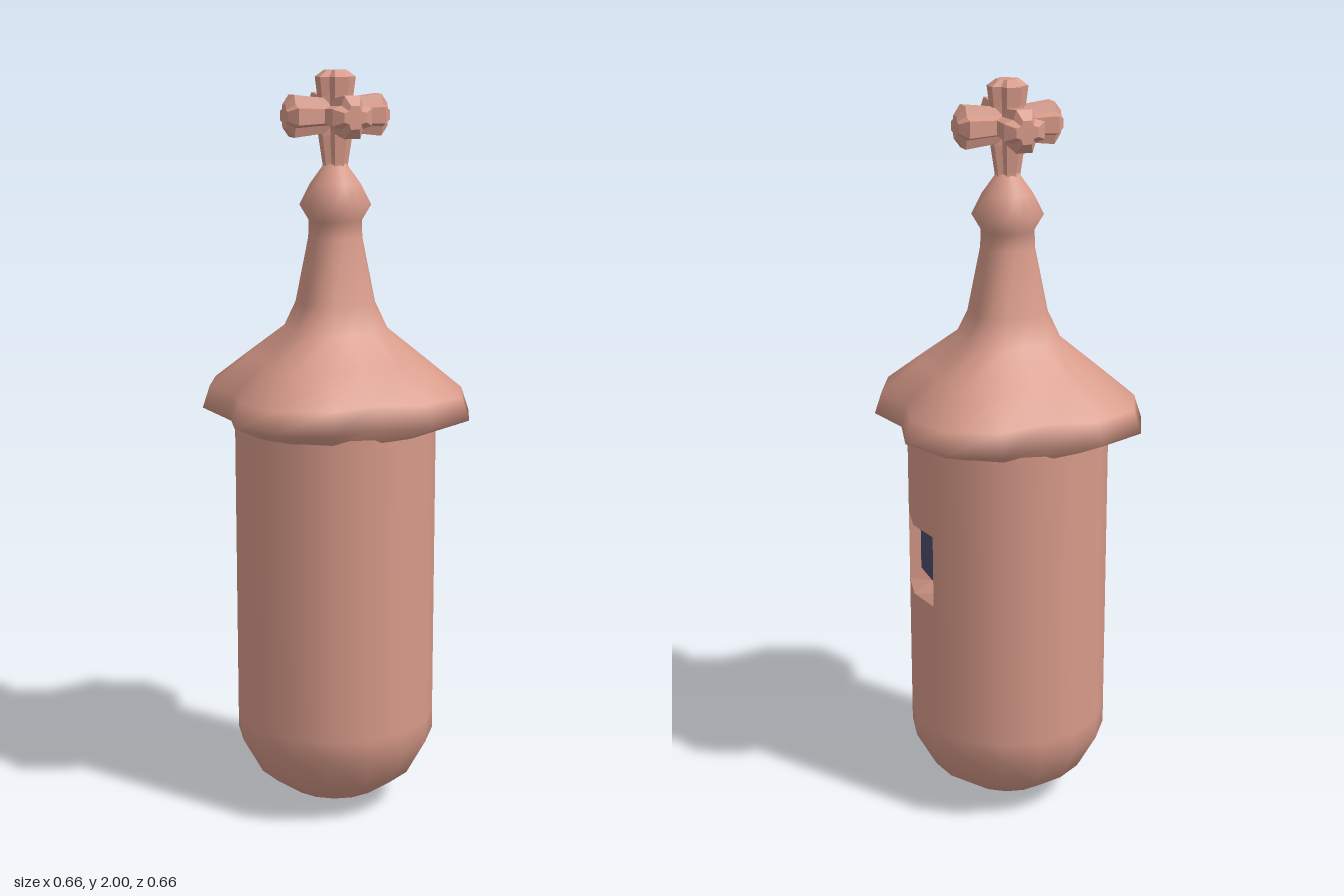
import * as THREE from 'three';

const clay = new THREE.MeshStandardMaterial({ color: 0xd79a89 });
const clayFlat = new THREE.MeshStandardMaterial({ color: 0xd79a89, flatShading: true });
const glass = new THREE.MeshStandardMaterial({ color: 0x4c4c6c });
const red = new THREE.MeshStandardMaterial({ color: 0x9c2438 });

// Skin over a stack of closed rings with equal point counts
function loft(rings) {
  const n = rings[0].length, index = [];
  for (let i = 0; i < rings.length - 1; i++) {
    for (let j = 0; j < n; j++) {
      const a = i * n + j, b = i * n + (j + 1) % n;
      index.push(a, b, b + n, a, b + n, a + n);
    }
  }
  const geometry = new THREE.BufferGeometry();
  geometry.setAttribute('position', new THREE.Float32BufferAttribute(rings.flat(2), 3));
  geometry.setIndex(index);
  geometry.computeVertexNormals();
  return geometry;
}

// Horizontal ring from a list of relative radii at given angles
const ring = (y, r, polar) => polar.map(([angle, k]) => [Math.sin(angle) * r * k, y, Math.cos(angle) * r * k]);

export function createModel() {
  const model = new THREE.Group();
  const add = (name, geometry, material, parent = model) => {
    const mesh = new THREE.Mesh(geometry, material);
    mesh.name = name;
    parent.add(mesh);
    return mesh;
  };

  // Body: rounded base, wall around the window, upper wall
  const R = 0.27, low = 0.63, high = 0.83, step = Math.PI / 8;
  const profile = [[0, 0], [0.03, 0.003], [0.13, 0.04], [0.215, 0.1], [R, 0.2], [R, 0.26], [R, low]];
  add('lowerBody', new THREE.LatheGeometry(profile.map(p => new THREE.Vector2(...p)), 16), clay);
  const wall = (name, y0, y1, start, segments) => add(name,
    new THREE.CylinderGeometry(R, R, y1 - y0, segments, 1, true, start, segments * step), clay
  ).position.y = (y0 + y1) / 2;
  wall('middleBody', low, high, 5 * step, 14);
  wall('upperBody', high, 1.08, 0, 16);

  // Window recess with sloping sides, red trim and glass
  const ex = R * Math.cos(step), ez = R * Math.sin(step);
  const opening = [[ex, low, ez], [R, low, 0], [ex, low, -ez], [ex, high, -ez], [R, high, 0], [ex, high, ez]];
  const inner = opening.map(([, y, z]) => [0.217, y === low ? 0.66 : 0.8, Math.sign(z) * 0.096]);
  add('windowRecess', loft([opening, inner]), clayFlat);
  add('windowTrim', new THREE.BoxGeometry(0.02, 0.14, 0.192), red).position.set(0.208, 0.73, 0);
  add('windowPane', new THREE.BoxGeometry(0.02, 0.132, 0.184), glass).position.set(0.21, 0.73, 0);

  // Four-lobed roof that turns into a round spire with a bulb
  const lobes = [0.9, 1.08, 1.155, 1.08];
  const roofRings = [ // height, half width, strength of the lobes
    [1.06, 0.25, 0], [1.11, 0.33, 1], [1.17, 0.312, 1], [1.25, 0.222, 0.95], [1.33, 0.13, 0.8],
    [1.4, 0.1, 0.65], [1.57, 0.07, 0.2], [1.615, 0.07, 0], [1.655, 0.094, 0], [1.71, 0.066, 0],
    [1.76, 0.03, 0], [1.765, 0, 0],
  ].map(([y, r, s]) => ring(y, r, Array.from({ length: 16 }, (_, j) => [j * step, 1 + (lobes[j % 4] - 1) * s])));
  add('roof', loft(roofRings), clay);

  // Finial: fluted arms in six directions
  const finial = new THREE.Group();
  finial.name = 'finial';
  finial.position.y = 1.885;
  model.add(finial);
  const fluted = [];
  for (let q = 0; q < 4; q++) {
    const a = q * Math.PI / 2;
    fluted.push([a - 0.38, 1.06], [a + 0.38, 1.06], [a + Math.PI / 4, 0.76]);
  }
  const arm = (name, stations) => add(name, loft(stations.map(([y, r]) => ring(y, r, fluted))), clayFlat, finial);
  const side = [[0, 0.044], [0.05, 0.047], [0.12, 0.055], [0.141, 0.03], [0.141, 0]];
  for (let i = 0; i < 4; i++) {
    arm('sideArm', side).rotation.set(Math.PI / 2, 0, -i * Math.PI / 2);
  }
  arm('topArm', [[0, 0.042], [0.05, 0.044], [0.098, 0.05], [0.115, 0.028], [0.115, 0]]);
  arm('stem', [[-0.145, 0.03], [-0.12, 0.032], [-0.05, 0.042], [0, 0.042]]);

  return model;
}
